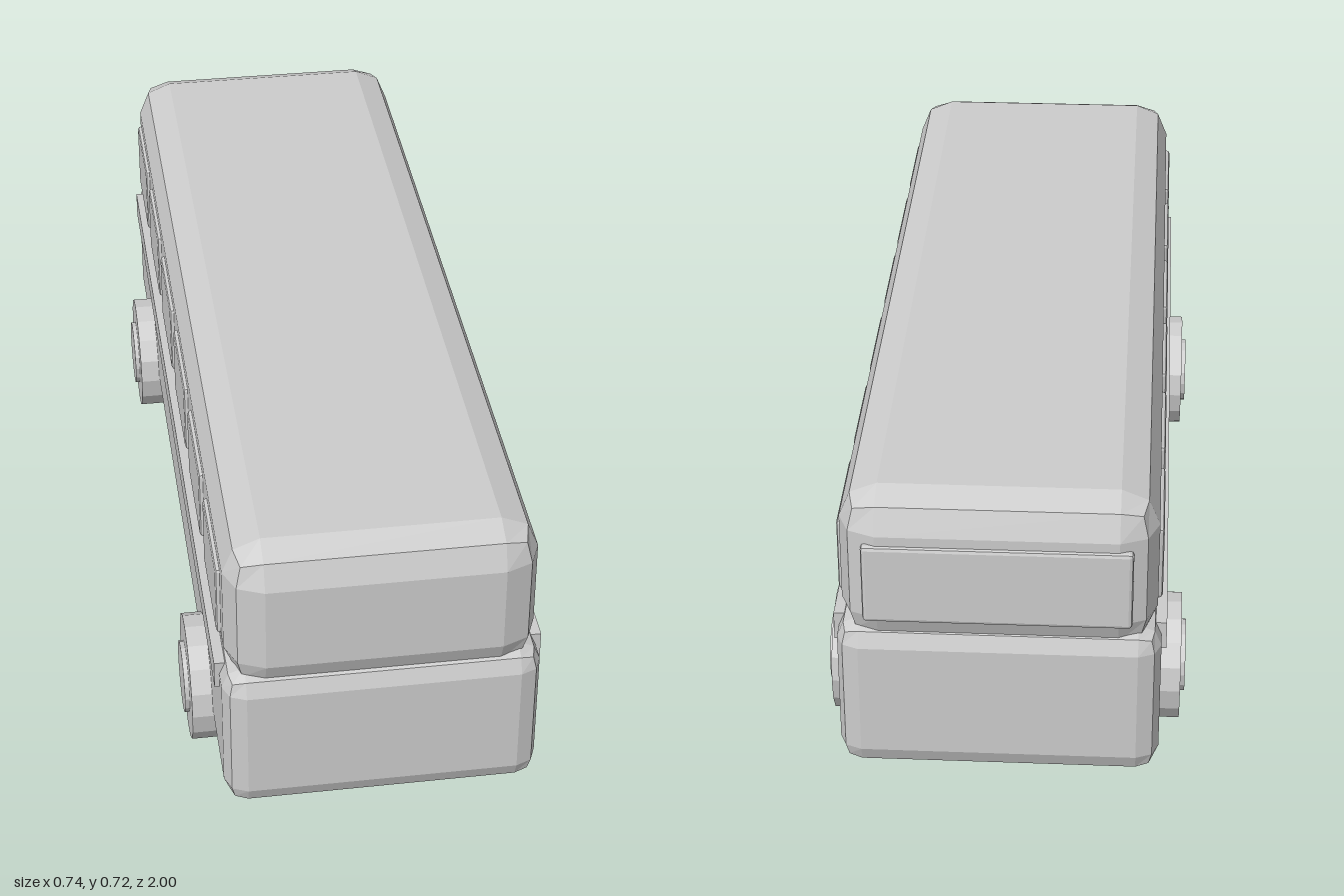
import * as THREE from 'three';
import { RoundedBoxGeometry } from 'three/addons/geometries/RoundedBoxGeometry.js';

export function createModel() {
  const bus = new THREE.Group();
  bus.name = 'bus';

  const grey = new THREE.MeshStandardMaterial({ color: 0xcccccc, flatShading: true });
  grey.name = 'plain grey';

  const add = (name, geometry, x, y, z) => {
    const mesh = new THREE.Mesh(geometry, grey);
    mesh.name = name;
    mesh.position.set(x, y, z);
    bus.add(mesh);
    return mesh;
  };
  // Box with one wide chamfer strip along every edge
  const chamferBox = (w, h, d, r) => new RoundedBoxGeometry(w, h, d, 1, r);

  // Body shells: the upper one sinks into the lower one
  add('lowerBody', chamferBox(0.634, 0.332, 1.99, 0.045), 0, 0.266, 0.002);
  add('upperBody', chamferBox(0.616, 0.335, 1.985, 0.075), 0, 0.5525, 0);

  // Rear window
  add('rearWindow', chamferBox(0.52, 0.17, 0.03, 0.008), 0, 0.54, -0.985);

  const wheelGeometry = new THREE.CylinderGeometry(0.133, 0.133, 0.11, 16).rotateZ(Math.PI / 2);
  const hubGeometry = new THREE.CylinderGeometry(0.076, 0.076, 0.03, 16).rotateZ(Math.PI / 2);
  const windowGeometry = chamferBox(0.03, 0.16, 0.236, 0.008);
  const stripeGeometry = new THREE.BoxGeometry(0.03, 0.06, 1.826);

  for (const side of [1, -1]) {
    const label = side > 0 ? 'left' : 'right';

    // Six windows and the trim strip below them
    for (let i = 0; i < 6; i++) {
      add(`${label}Window${i + 1}`, windowGeometry, side * 0.302, 0.54, 0.76 - 0.308 * i);
    }
    add(`${label}Trim`, stripeGeometry, side * 0.312, 0.385, 0);

    // Wheels with hubs
    for (const z of [0.618, -0.618]) {
      const end = z > 0 ? 'Front' : 'Rear';
      add(`${label}${end}Wheel`, wheelGeometry, side * 0.305, 0.133, z);
      add(`${label}${end}Hub`, hubGeometry, side * 0.355, 0.133, z);
    }
  }
  return bus;
}
